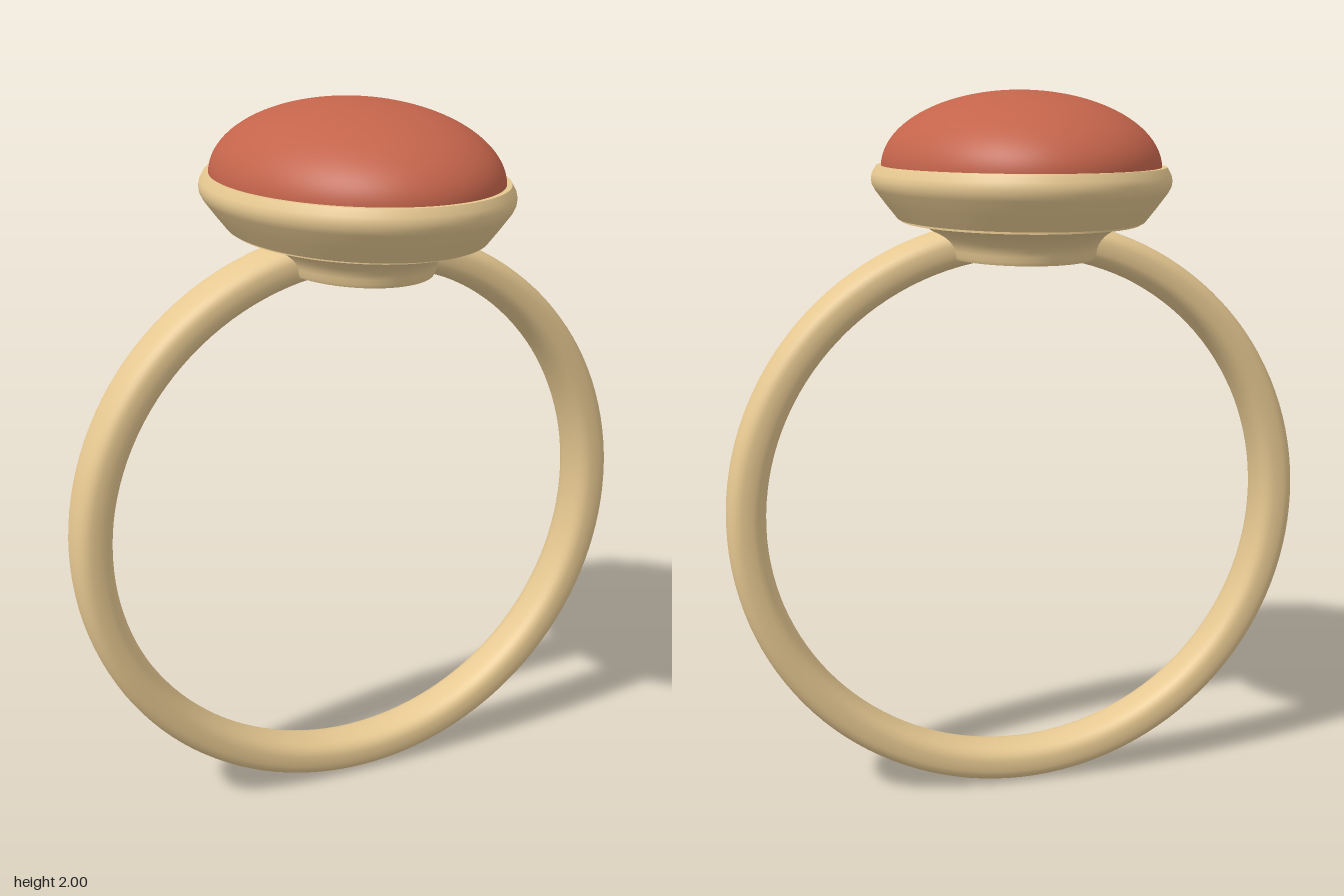
import * as THREE from 'three';
import { mergeGeometries } from 'three/addons/utils/BufferGeometryUtils.js';

const GOLD = new THREE.MeshStandardMaterial({ color: 0xe6c891 });
const STONE = new THREE.MeshStandardMaterial({ color: 0xc4644b });

// Smooth skin through closed loops of points; closed = join last loop to first
function loft(loops, closed = false) {
  const n = loops[0].length, m = loops.length, index = [];
  for (let i = 0; i < (closed ? m : m - 1); i++) {
    for (let j = 0; j < n; j++) {
      const a = i * n + j, b = i * n + (j + 1) % n;
      const c = ((i + 1) % m) * n + j, d = ((i + 1) % m) * n + (j + 1) % n;
      index.push(a, c, b, b, c, d);
    }
  }
  const g = new THREE.BufferGeometry();
  g.setAttribute('position', new THREE.Float32BufferAttribute(loops.flat(2), 3));
  g.setIndex(index);
  g.computeVertexNormals();
  return g;
}

// Horizontal ellipse at height y
function ellipse(rx, rz, y, n = 96) {
  return Array.from({ length: n }, (_, j) => {
    const a = (j / n) * Math.PI * 2;
    return [rx * Math.cos(a), y, rz * Math.sin(a)];
  });
}

// Strips of [rx, rz, y] from bottom to top; every strip break is a sharp edge
function ovalMesh(name, strips) {
  const parts = strips.map((s) => loft(s.map(([rx, rz, y]) => ellipse(rx, rz, y))));
  const mesh = new THREE.Mesh(mergeGeometries(parts), GOLD);
  mesh.name = name;
  return mesh;
}

// Band: rounded section swept round a circle, widening towards the top
function makeBand() {
  const R = 0.776, half = 0.054, cy = 0.83, steps = 128, sides = 32;
  const round = (v) => Math.sign(v) * Math.abs(v) ** 0.75;
  const loops = [];
  for (let i = 0; i < steps; i++) {
    const a = (i / steps) * Math.PI * 2;
    const width = 0.07 + 0.015 * ((1 + Math.sin(a)) / 2) ** 1.5;
    loops.push(Array.from({ length: sides }, (_, j) => {
      const b = (j / sides) * Math.PI * 2;
      const r = R + half * round(Math.cos(b));
      return [r * Math.cos(a), cy + r * Math.sin(a), width * round(Math.sin(b))];
    }));
  }
  const mesh = new THREE.Mesh(loft(loops, true), GOLD);
  mesh.name = 'band';
  return mesh;
}

export function createModel() {
  const ring = new THREE.Group();
  ring.name = 'ring';
  ring.add(makeBand());

  // Flared foot, closed underneath
  const flare = [];
  for (let i = 0; i <= 10; i++) {
    const t = (i / 10) * Math.PI / 2;
    flare.push([0.32 - 0.115 * Math.cos(t), 0.435 - 0.15 * Math.cos(t), 1.565 + 0.085 * Math.sin(t)]);
  }
  flare[10] = [0.32, 0.435, 1.65];
  ring.add(ovalMesh('foot', [
    [[0.001, 0.001, 1.555], [0.2, 0.28, 1.555]],
    [[0.2, 0.28, 1.555], ...flare],
    [[0.32, 0.435, 1.65], [0.32, 0.435, 1.66]],
  ]));

  // Bezel: underside step, tapered wall, soft shoulder and flat rim
  ring.add(ovalMesh('bezel', [
    [[0.3, 0.42, 1.657], [0.33, 0.455, 1.657]],
    [[0.33, 0.455, 1.657], [0.36, 0.486, 1.695], [0.39, 0.516, 1.735],
      [0.398, 0.523, 1.75], [0.4, 0.525, 1.765], [0.397, 0.522, 1.78], [0.386, 0.511, 1.8]],
    [[0.386, 0.511, 1.8], [0.36, 0.485, 1.8]],
  ]));

  // Domed oval stone
  const dome = new THREE.SphereGeometry(1, 96, 32, 0, Math.PI * 2, 0, Math.PI / 2);
  dome.scale(0.372, 0.497, 0.205).rotateX(0);
  const stone = new THREE.Mesh(
    new THREE.SphereGeometry(1, 96, 32, 0, Math.PI * 2, 0, Math.PI / 2).scale(0.372, 0.205, 0.497), STONE);
  stone.name = 'stone';
  stone.position.y = 1.795;
  ring.add(stone);
  return ring;
}
